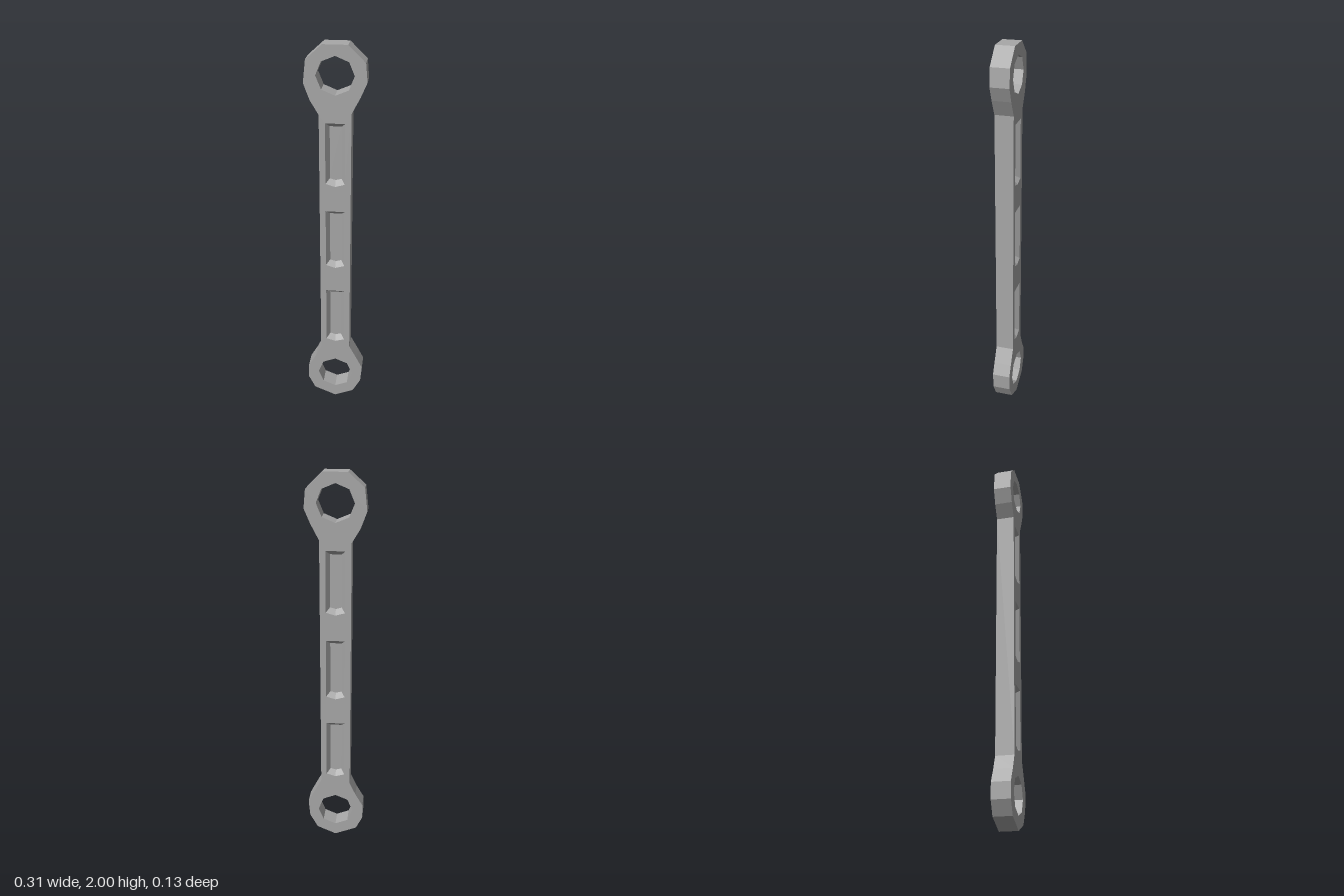
import * as THREE from 'three';

const H = 0.047; // half thickness

// Outer outline, counter-clockwise from the bottom
const outline = [
  [0, 0.003], [0.1, 0.045], [0.142, 0.12], [0.15, 0.21], [0.12, 0.27], [0.078, 0.35],
  [0.078, 1.68], [0.12, 1.76], [0.15, 1.83], [0.142, 1.92], [0.06, 2.0],
  [-0.06, 2.0], [-0.138, 1.93], [-0.15, 1.82], [-0.12, 1.74], [-0.078, 1.67],
  [-0.078, 0.34], [-0.11, 0.27], [-0.15, 0.2], [-0.15, 0.12], [-0.115, 0.05],
];

// Clockwise polygon for a bolt hole
function bore(cy, r) {
  return Array.from({ length: 8 }, (_, i) => {
    const a = Math.PI / 2 - i * Math.PI / 4;
    return [r * Math.cos(a), cy + r * Math.sin(a)];
  });
}

// Clockwise pocket loop with a shallow V at its lower end
function pocketLoop(y0, y1, w, v) {
  return [[-w, y1], [w, y1], [w, y0 + v], [0, y0], [-w, y0 + v]];
}

const bores = [bore(1.857, 0.092), bore(0.165, 0.094)];
const pockets = [[1.305, 1.63], [0.845, 1.17], [0.38, 0.705]];
const rims = pockets.map(([a, b]) => pocketLoop(a, b, 0.048, 0.014));
const floors = pockets.map(([a, b]) => pocketLoop(a + 0.026, b - 0.022, 0.029, 0.008));

// Flat-sided wall between two loops
function loft(back, zb, front, zf) {
  const pos = [];
  back.forEach((p, i) => {
    const j = (i + 1) % back.length;
    const a = [...p, zb], b = [...back[j], zb], c = [...front[j], zf], d = [...front[i], zf];
    pos.push(...a, ...b, ...c, ...a, ...c, ...d);
  });
  const g = new THREE.BufferGeometry();
  g.setAttribute('position', new THREE.Float32BufferAttribute(pos, 3));
  g.computeVertexNormals();
  return g;
}

// Flat plate with holes
function plate(loop, holes, flip, z) {
  const pts = l => l.map(([x, y]) => new THREE.Vector2(flip ? -x : x, y));
  const s = new THREE.Shape(pts(loop));
  s.holes = holes.map(h => new THREE.Path(pts(h)));
  return new THREE.ShapeGeometry(s).translate(0, 0, z);
}

export function createModel() {
  const model = new THREE.Group();
  model.name = 'linkBar';
  const steel = new THREE.MeshStandardMaterial({ color: 0xa8a8a8 });
  steel.name = 'steelGrey';
  const bar = new THREE.Group();
  bar.name = 'bar';
  bar.rotation.y = -0.13;
  model.add(bar);

  const add = (parent, name, geometry) => {
    const m = new THREE.Mesh(geometry, steel);
    m.name = name;
    parent.add(m);
  };

  // Outer edge and the two eyelets
  add(bar, 'outerEdge', loft(outline, -H, outline, H));
  bores.forEach((b, i) => add(bar, i ? 'lowerEyelet' : 'upperEyelet', loft(b, -H, b, H)));

  // Front and back faces with their recessed pockets
  for (const flip of [false, true]) {
    const side = new THREE.Group();
    side.name = flip ? 'backFace' : 'frontFace';
    side.rotation.y = flip ? Math.PI : 0;
    add(side, 'face', plate(outline, [...bores, ...rims], flip, H));
    rims.forEach((rim, i) => {
      add(side, 'pocketWall', loft(floors[i], H - 0.027, rim, H));
      add(side, 'pocketFloor', plate(floors[i], [], false, H - 0.027));
    });
    bar.add(side);
  }
  return model;
}
